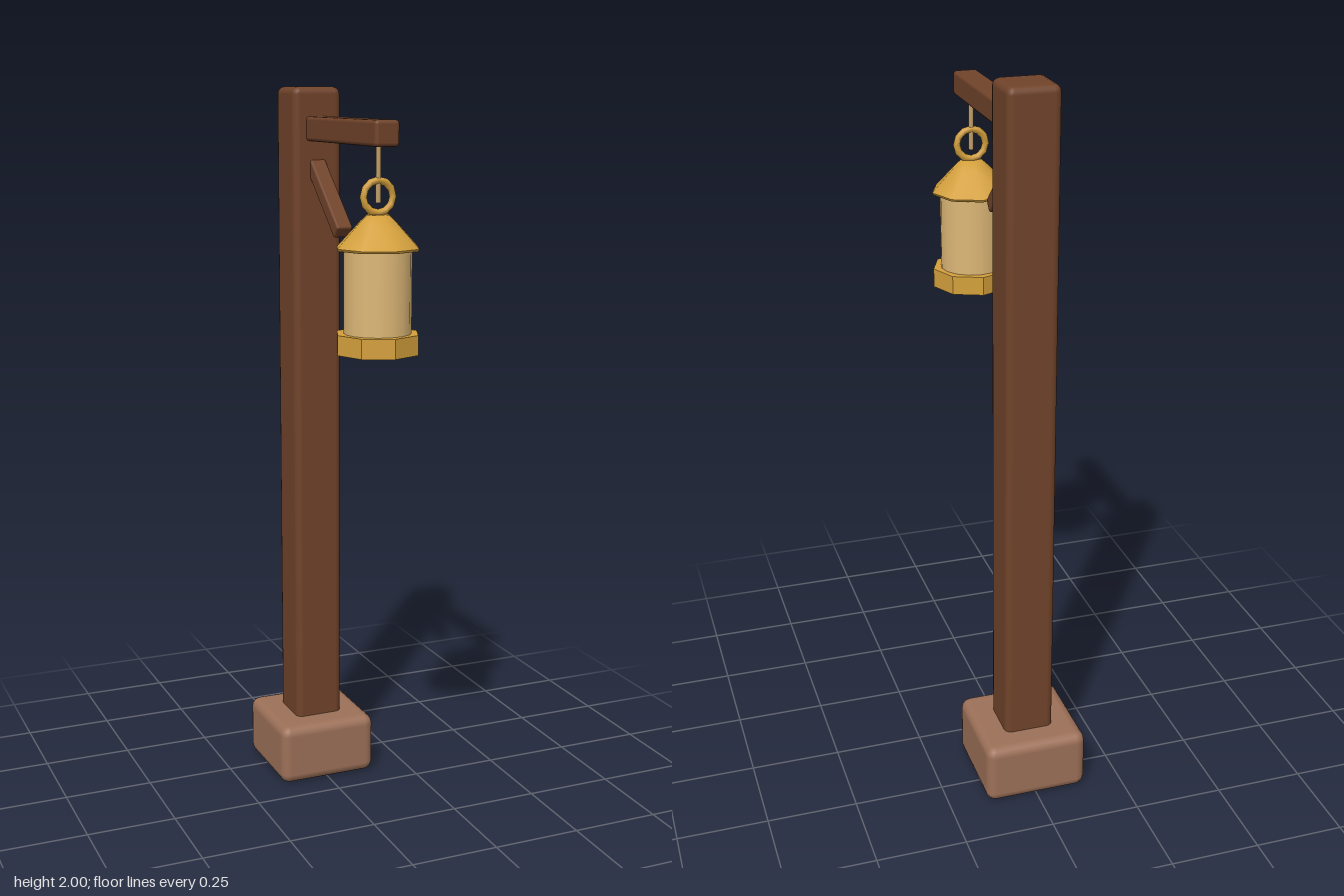
import * as THREE from 'three';
import { RoundedBoxGeometry } from 'three/addons/geometries/RoundedBoxGeometry.js';

const POST_Z = -0.22;
const LAMP_Z = 0.253;

export function createModel() {
  const model = new THREE.Group();
  model.name = 'lanternPost';

  const paint = (name, color, extra) => {
    const m = new THREE.MeshStandardMaterial({ color, ...extra });
    m.name = name;
    return m;
  };
  const wood = paint('brown wood', 0x70432a);
  const footing = paint('pale brown footing', 0x9c7058);
  const brass = paint('brass', 0xd4a03c);
  const brassFaceted = brass;
  const glass = paint('warm glass', 0xdeb877);
  const wire = paint('wire', 0xc2a06a);

  const add = (parent, name, geometry, material, x, y, z) => {
    const mesh = new THREE.Mesh(geometry, material);
    mesh.name = name;
    mesh.position.set(x, y, z);
    parent.add(mesh);
    return mesh;
  };
  const block = (name, w, h, d, radius, material, y, z) =>
    add(model, name, new RoundedBoxGeometry(w, h, d, 2, radius), material, 0, y, z);

  // Timber frame
  block('footing', 0.29, 0.175, 0.29, 0.028, footing, 0.0925, POST_Z).position.y = 0.0895;
  block('post', 0.14, 1.998, 0.14, 0.02, wood, 1.001, POST_Z);
  block('arm', 0.068, 0.066, 0.51, 0.01, wood, 1.888, 0.055);

  // Diagonal brace, its upper end buried in the post
  const low = new THREE.Vector3(0, 1.62, 0.028);
  const high = new THREE.Vector3(0, 1.813, -0.19);
  const brace = block('brace', 0.046, 0.04, low.distanceTo(high), 0.006, wood, 0, 0);
  brace.position.copy(low).lerp(high, 0.5);
  brace.lookAt(high);

  // Hanging lantern
  const lantern = new THREE.Group();
  lantern.name = 'lantern';
  lantern.position.z = LAMP_Z;
  model.add(lantern);

  add(lantern, 'hangingWire', new THREE.CylinderGeometry(0.007, 0.007, 0.15, 8), wire, 0, 1.79, 0);
  add(lantern, 'ring', new THREE.TorusGeometry(0.041, 0.01, 6, 12), brass, 0, 1.73, 0);

  // Eight-sided roof: shoulder, slope, then a closed underside
  const slope = [[0, 1.686], [0.03, 1.685], [0.05, 1.667], [0.112, 1.602]];
  const underside = [[0.112, 1.602], [0.11, 1.596], [0, 1.596]];
  const lathe = (points) => new THREE.LatheGeometry(
    points.map(([r, y]) => new THREE.Vector2(r, y)).reverse(), 8);
  add(lantern, 'roof', lathe(slope), brass, 0, 0, 0);
  add(lantern, 'roofUnderside', lathe(underside), brass, 0, 0, 0);

  add(lantern, 'glassBody', new THREE.CylinderGeometry(0.088, 0.088, 0.23, 16), glass, 0, 1.485, 0);

  // Flat-sided tray, unshared corners keep its facets crisp
  const tray = new THREE.CylinderGeometry(0.112, 0.112, 0.052, 8).toNonIndexed();
  tray.computeVertexNormals();
  add(lantern, 'tray', tray, brassFaceted, 0, 1.357, 0);

  return model;
}
